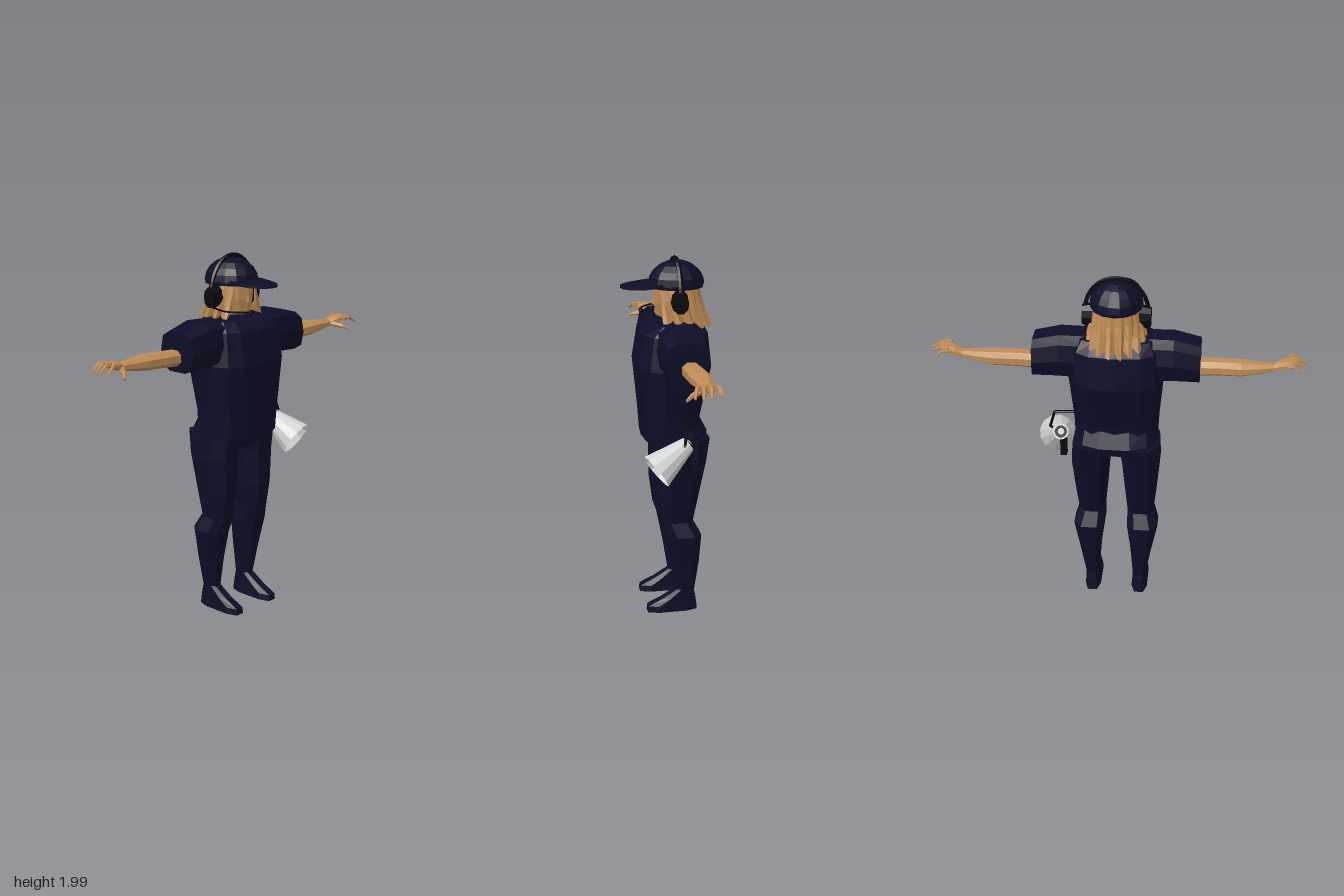
import * as THREE from 'three';

const mat = (name, color, side = THREE.FrontSide) =>
  Object.assign(new THREE.MeshStandardMaterial({ color, side }), { name });

// Faceted shading
function flat(geo) {
  const g = geo.index ? geo.toNonIndexed() : geo;
  g.computeVertexNormals();
  return g;
}

// Mirror across x and keep the faces pointing outward
function mirror(geo) {
  const g = geo.clone().scale(-1, 1, 1);
  const p = g.attributes.position, a = new THREE.Vector3(), b = new THREE.Vector3();
  for (let i = 0; i < p.count; i += 3) {
    a.fromBufferAttribute(p, i + 1);
    b.fromBufferAttribute(p, i + 2);
    p.setXYZ(i + 1, b.x, b.y, b.z);
    p.setXYZ(i + 2, a.x, a.y, a.z);
  }
  g.computeVertexNormals();
  return g;
}

// Loft of rounded sections [t, min1, max1, min2, max2].
// axis 'y': t = y, then x and z ranges; axis 'x': t = x, then y and z ranges.
function loft(axis, sections, n = 10, power = 0.75) {
  const pos = [], idx = [];
  const round = v => Math.sign(v) * Math.pow(Math.abs(v), power);
  const put = (t, u, v) => (axis === 'y' ? pos.push(u, t, v) : pos.push(t, u, v));
  for (const [t, u0, u1, v0, v1] of sections) {
    for (let i = 0; i < n; i++) {
      const a = ((i + 0.5) / n) * Math.PI * 2, s = axis === 'y' ? -1 : 1;
      put(t, (u0 + u1) / 2 + (u1 - u0) / 2 * round(Math.cos(a)),
        (v0 + v1) / 2 + s * (v1 - v0) / 2 * round(Math.sin(a)));
    }
  }
  const last = (sections.length - 1) * n;
  for (let r = 0; r < last; r += n) {
    for (let i = 0; i < n; i++) {
      const j = (i + 1) % n;
      idx.push(r + i, r + j, r + n + j, r + i, r + n + j, r + n + i);
    }
  }
  for (let i = 1; i < n - 1; i++) idx.push(0, i + 1, i, last, last + i, last + i + 1);
  const g = new THREE.BufferGeometry();
  g.setAttribute('position', new THREE.Float32BufferAttribute(pos, 3));
  g.setIndex(idx);
  return flat(g);
}

// Tapered rod from p to q
function rod(p, q, r0, r1 = r0, sides = 6, open = false) {
  const a = new THREE.Vector3(...p), b = new THREE.Vector3(...q);
  const d = b.clone().sub(a);
  const g = new THREE.CylinderGeometry(r1, r0, d.length(), sides, 1, open);
  g.applyQuaternion(new THREE.Quaternion().setFromUnitVectors(new THREE.Vector3(0, 1, 0), d.clone().normalize()));
  g.translate(...a.add(b).multiplyScalar(0.5).toArray());
  return flat(g);
}

// Curtain of hair around the sides and back, in ridged locks
function hairGeometry() {
  const rows = [[1.87, 0.115, 0.12], [1.77, 0.135, 0.135], [1.7, 0.145, 0.155], [1.62, 0.155, 0.185]];
  const n = 36, pos = [], idx = [];
  rows.forEach(([y, rx, rz], r) => {
    for (let i = 0; i <= n; i++) {
      const k = i / n * 2 - 1, a = k * (2.6 - r * 0.14);
      const ridge = 1 + (i % 3 === 0 ? -0.05 : 0.02) * r;
      const drop = r === 3 ? (i % 3 === 0 ? 0.025 : -0.005) + 0.035 * k * k + 0.008 * Math.sin(i * 2.3) : 0;
      pos.push(Math.sin(a) * rx * ridge, y + drop, -0.055 - Math.cos(a) * rz * ridge);
    }
  });
  for (let r = 0; r < 3; r++) {
    for (let i = 0; i < n; i++) {
      const a = r * (n + 1) + i, b = a + n + 1;
      idx.push(a, a + 1, b, a + 1, b + 1, b);
    }
  }
  const g = new THREE.BufferGeometry();
  g.setAttribute('position', new THREE.Float32BufferAttribute(pos, 3));
  g.setIndex(idx);
  return flat(g);
}

export function createModel() {
  const model = new THREE.Group();
  model.name = 'crewMember';
  const navy = mat('navy cloth', 0x0d0d27);
  const skin = mat('skin', 0xbd8b56);
  const hair = mat('hair', 0xbb8850, THREE.DoubleSide);
  const black = mat('black plastic', 0x08080f);
  const grey = mat('pale grey', 0xd0d3d0, THREE.DoubleSide);

  const add = (name, geo, material) => {
    const m = new THREE.Mesh(geo, material);
    m.name = name;
    model.add(m);
    return m;
  };
  const pair = (name, geo, material) => {
    add(name + 'Left', geo, material);
    add(name + 'Right', mirror(geo), material);
  };

  // Shirt
  add('shirt', loft('y', [
    [1.01, -0.225, 0.225, -0.175, 0.14], [1.15, -0.232, 0.232, -0.175, 0.15],
    [1.42, -0.255, 0.255, -0.235, 0.178], [1.6, -0.24, 0.24, -0.215, 0.148],
    [1.65, -0.21, 0.21, -0.15, 0.08], [1.67, -0.1, 0.1, -0.11, 0.03]], 14, 0.7), navy);
  pair('sleeve', loft('x', [
    [0.14, 1.4, 1.66, -0.15, 0.09], [0.3, 1.415, 1.665, -0.162, 0.088],
    [0.44, 1.41, 1.628, -0.15, 0.085]], 10, 0.65), navy);

  // Trousers and shoes
  add('hips', loft('y', [
    [0.94, -0.07, 0.07, -0.13, 0.05], [0.99, -0.2, 0.2, -0.2, 0.09],
    [1.04, -0.228, 0.228, -0.218, 0.11], [1.14, -0.21, 0.21, -0.165, 0.11]], 12), navy);
  pair('leg', loft('y', [
    [0.1, 0.098, 0.172, -0.135, -0.04], [0.3, 0.082, 0.207, -0.16, -0.008],
    [0.47, 0.058, 0.242, -0.17, 0.025], [0.55, 0.06, 0.213, -0.125, 0.052],
    [0.7, 0.046, 0.23, -0.155, 0.072], [0.9, 0.03, 0.248, -0.195, 0.075],
    [1.03, 0.01, 0.24, -0.218, 0.1]], 8), navy);
  pair('shoe', loft('y', [
    [0, 0.088, 0.184, -0.157, 0.138], [0.035, 0.092, 0.18, -0.154, 0.134],
    [0.075, 0.096, 0.176, -0.147, 0.05], [0.135, 0.098, 0.172, -0.132, -0.05]], 8, 0.65), navy);

  // Bare arms and hands
  pair('arm', loft('x', [
    [0.4, 1.44, 1.53, -0.1, 0.0], [0.52, 1.45, 1.535, -0.105, 0.005],
    [0.65, 1.455, 1.538, -0.115, 0.002], [0.74, 1.468, 1.53, -0.098, -0.008],
    [0.82, 1.483, 1.523, -0.076, -0.02], [0.86, 1.492, 1.54, -0.085, 0.005],
    [0.91, 1.512, 1.545, -0.088, 0.018]], 8, 0.9), skin);
  const fingers = [[0.012, 0.042, 0.97], [-0.018, 0.008, 1.0], [-0.046, -0.035, 0.985], [-0.074, -0.092, 0.955]];
  fingers.forEach(([z0, z1, tip], i) => {
    const zm = (z0 + z1) / 2, xm = (0.89 + tip) / 2;
    const sec = (x, y, z, r) => [x, y - r, y + r, z - r, z + r];
    pair('finger' + (i + 1), loft('x', [
      sec(0.89, 1.53, z0, 0.015), sec(xm, 1.533, zm, 0.012), sec(tip, 1.502, z1, 0.007)], 5, 1), skin);
  });
  pair('thumbBase', rod([0.83, 1.5, -0.03], [0.865, 1.485, 0.035], 0.018, 0.013), skin);
  pair('thumbTip', rod([0.863, 1.486, 0.032], [0.89, 1.468, 0.066], 0.013, 0.007), skin);

  // Head and hair
  add('head', loft('y', [
    [1.6, -0.06, 0.06, -0.11, 0.0], [1.66, -0.06, 0.06, -0.12, 0.02],
    [1.68, -0.055, 0.055, -0.13, 0.055], [1.75, -0.085, 0.085, -0.16, 0.065],
    [1.87, -0.1, 0.1, -0.17, 0.065]], 10, 0.85), skin);
  add('nose', rod([0, 1.74, 0.055], [0, 1.79, 0.06], 0.018, 0.006, 5), skin);
  add('hair', hairGeometry(), hair);

  // Peaked cap
  const dome = new THREE.SphereGeometry(1, 14, 5, 0, Math.PI * 2, 0, Math.PI / 2);
  add('capDome', flat(dome.scale(0.138, 0.125, 0.15).translate(0, 1.845, -0.057)), navy);
  const band = new THREE.CylinderGeometry(0.138, 0.135, 0.02, 14);
  add('capBand', flat(band.scale(1, 1, 1.08).translate(0, 1.84, -0.057)), navy);
  const brim = new THREE.CylinderGeometry(1, 1, 0.012, 18).scale(0.112, 1, 0.165);
  const bp = brim.attributes.position;
  for (let i = 0; i < bp.count; i++) bp.setY(i, bp.getY(i) - 0.11 * bp.getZ(i) - 0.8 * bp.getX(i) ** 2);
  add('capBrim', flat(brim.translate(0, 1.855, 0.08)), navy);

  // Headset with microphone
  const arch = new THREE.TorusGeometry(0.163, 0.011, 6, 20, Math.PI);
  add('headband', flat(arch.scale(1, 1.13, 1.3).translate(0, 1.795, -0.052)), black);
  const cup = new THREE.CylinderGeometry(0.04, 0.05, 0.06, 10).rotateZ(-Math.PI / 2).scale(1, 1.38, 1);
  pair('earCup', flat(cup.translate(0.148, 1.768, -0.052)), black);
  const boom = new THREE.CatmullRomCurve3([[-0.165, 1.715, -0.04], [-0.155, 1.703, 0.05], [-0.1, 1.7, 0.115], [-0.04, 1.697, 0.13]]
    .map(p => new THREE.Vector3(...p)));
  add('microphoneBoom', flat(new THREE.TubeGeometry(boom, 10, 0.005, 5)), black);
  add('microphone', flat(new THREE.SphereGeometry(0.012, 8, 6).scale(1.7, 1, 1).translate(-0.045, 1.697, 0.128)), black);

  // Megaphone hanging from the hip
  const back = [0.31, 1.035, -0.05], mouth = [0.352, 0.918, 0.117];
  const along = t => back.map((v, i) => v + (mouth[i] - v) * t);
  add('megaphoneHorn', rod(back, mouth, 0.048, 0.102, 12, true), grey);
  add('megaphoneBack', rod(along(-0.08), along(0.04), 0.044, 0.049, 12), grey);
  add('megaphoneBackRing', rod(along(-0.12), along(-0.07), 0.034, 0.034, 10), black);
  add('megaphoneBackButton', rod(along(-0.15), along(-0.11), 0.018, 0.018, 10), grey);
  add('megaphoneCore', rod(along(0.03), along(0.45), 0.022, 0.016, 8), black);
  add('megaphoneGrip', flat(new THREE.BoxGeometry(0.035, 0.11, 0.04).translate(0.292, 0.955, -0.06)), black);
  const strap = [[0.22, 1.17, -0.05], [0.34, 1.162, -0.05], [0.368, 1.06, -0.035], [0.335, 1.04, -0.04]];
  for (let i = 0; i < 3; i++) add('megaphoneStrap' + (i + 1), rod(strap[i], strap[i + 1], 0.008), black);

  return model;
}
